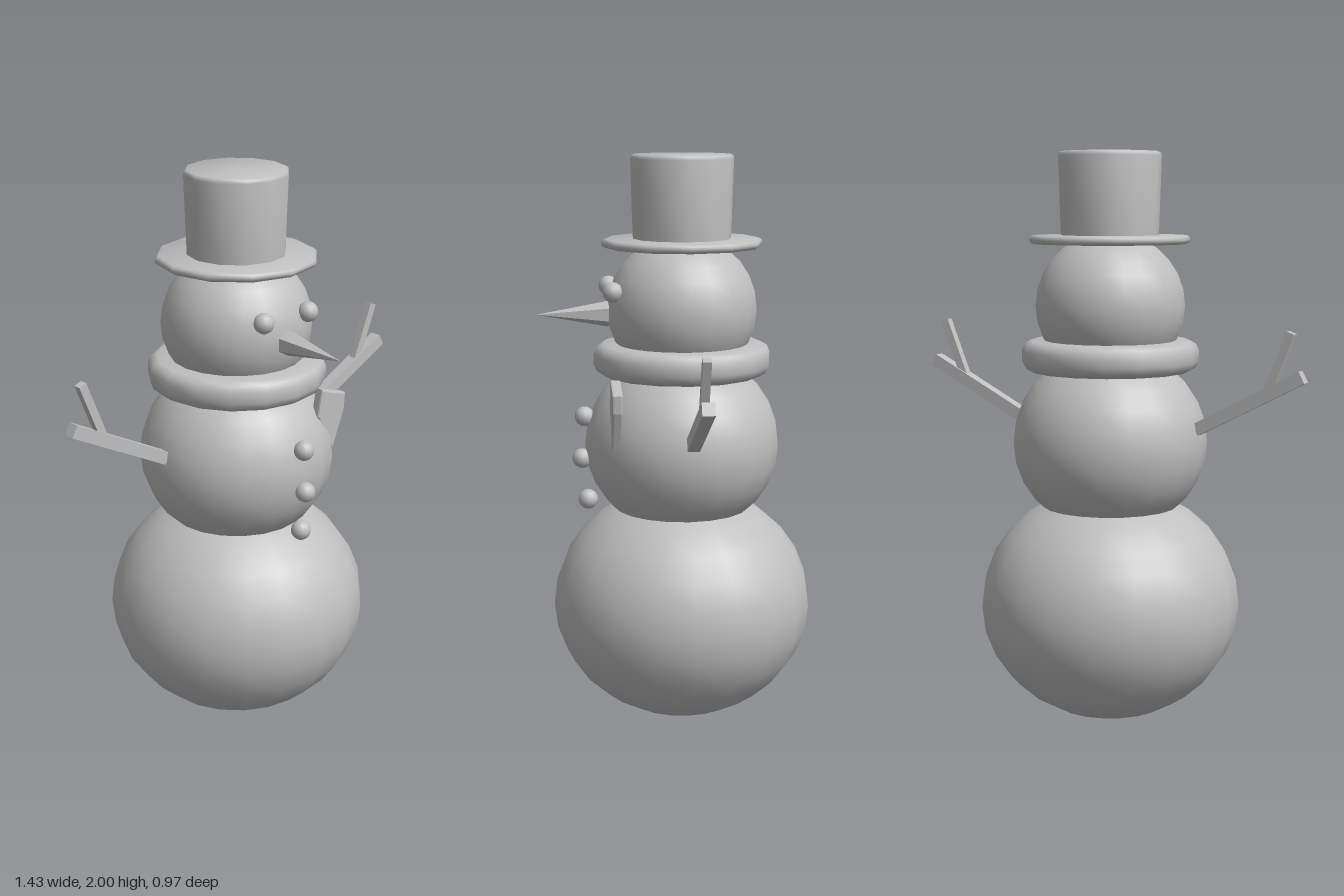
import * as THREE from 'three';
import { toCreasedNormals } from 'three/addons/utils/BufferGeometryUtils.js';

const AXIS_Z = -0.027; // the stacked body sits slightly behind the origin

export function createModel() {
  const root = new THREE.Group();
  const grey = new THREE.MeshStandardMaterial({ color: 0xbfbfbf });
  grey.name = 'plain grey';

  function add(name, geometry, x = 0, y = 0, z = AXIS_Z) {
    const mesh = new THREE.Mesh(geometry, grey);
    mesh.name = name;
    mesh.position.set(x, y, z);
    root.add(mesh);
    return mesh;
  }

  function ball(name, radius, y, squash) {
    add(name, new THREE.SphereGeometry(radius, 20, 14), 0, y).scale.y = squash;
  }

  function turned(name, points, sides) {
    const profile = points.map(([r, y]) => new THREE.Vector2(r, y));
    add(name, toCreasedNormals(new THREE.LatheGeometry(profile, sides), 0.9));
  }

  // Square stick running between two points in the x-y plane
  function stick(name, x1, y1, x2, y2, width, depth) {
    const length = Math.hypot(x2 - x1, y2 - y1);
    const mesh = add(name, new THREE.BoxGeometry(length, width, depth), (x1 + x2) / 2, (y1 + y2) / 2);
    mesh.rotation.z = Math.atan2(y2 - y1, x2 - x1);
  }

  // Three snowballs
  ball('lowerBody', 0.46, 0.415, 0.9);
  ball('upperBody', 0.343, 0.997, 0.95);
  ball('head', 0.262, 1.473, 0.97);

  // Scarf ring
  turned('scarf', [
    [0.15, 1.245], [0.278, 1.245], [0.3, 1.257], [0.31, 1.28],
    [0.31, 1.318], [0.3, 1.34], [0.278, 1.352], [0.15, 1.352],
  ], 16);

  // Scarf tail, tapering to a point
  const tail = new THREE.Shape([
    [0.166, 1.244], [0.149, 1.156], [0.215, 1.026], [0.264, 1.156], [0.268, 1.212],
  ].map(([x, y]) => new THREE.Vector2(x, y)));
  add('scarfTail', new THREE.ExtrudeGeometry(tail, {
    depth: 0.022, bevelThickness: 0.007, bevelSize: 0.006, bevelSegments: 2,
  }), 0, 0, 0.209);

  // Top hat
  turned('hatBrim', [
    [0, 1.685], [0.268, 1.685], [0.277, 1.691], [0.28, 1.7],
    [0.277, 1.709], [0.268, 1.715], [0, 1.715],
  ], 12);
  turned('hatCrown', [
    [0, 1.7], [0.17, 1.7], [0.179, 1.985], [0.177, 1.995], [0.17, 2], [0, 2],
  ], 12);

  // Eyes and buttons
  const bead = new THREE.SphereGeometry(0.035, 12, 8);
  for (const side of [-1, 1]) add(side > 0 ? 'leftEye' : 'rightEye', bead, side * 0.1, 1.543, 0.222);
  [[1.096, 0.317], [0.946, 0.327], [0.797, 0.308]].forEach(([y, z], i) => add('button' + (i + 1), bead, 0, y, z));

  // Six-sided carrot nose
  const nose = new THREE.ConeGeometry(0.045, 0.25, 6);
  nose.rotateX(Math.PI / 2);
  add('nose', toCreasedNormals(nose, 0.3), 0, 1.457, 0.355);

  // Stick arms, each with one twig
  for (const side of [-1, 1]) {
    const label = side > 0 ? 'left' : 'right';
    stick(label + 'Arm', side * 0.33, 1.056, side * 0.707, 1.254, 0.044, 0.042);
    stick(label + 'Twig', side * 0.582, 1.19, side * 0.664, 1.4, 0.029, 0.028);
  }

  return root;
}
